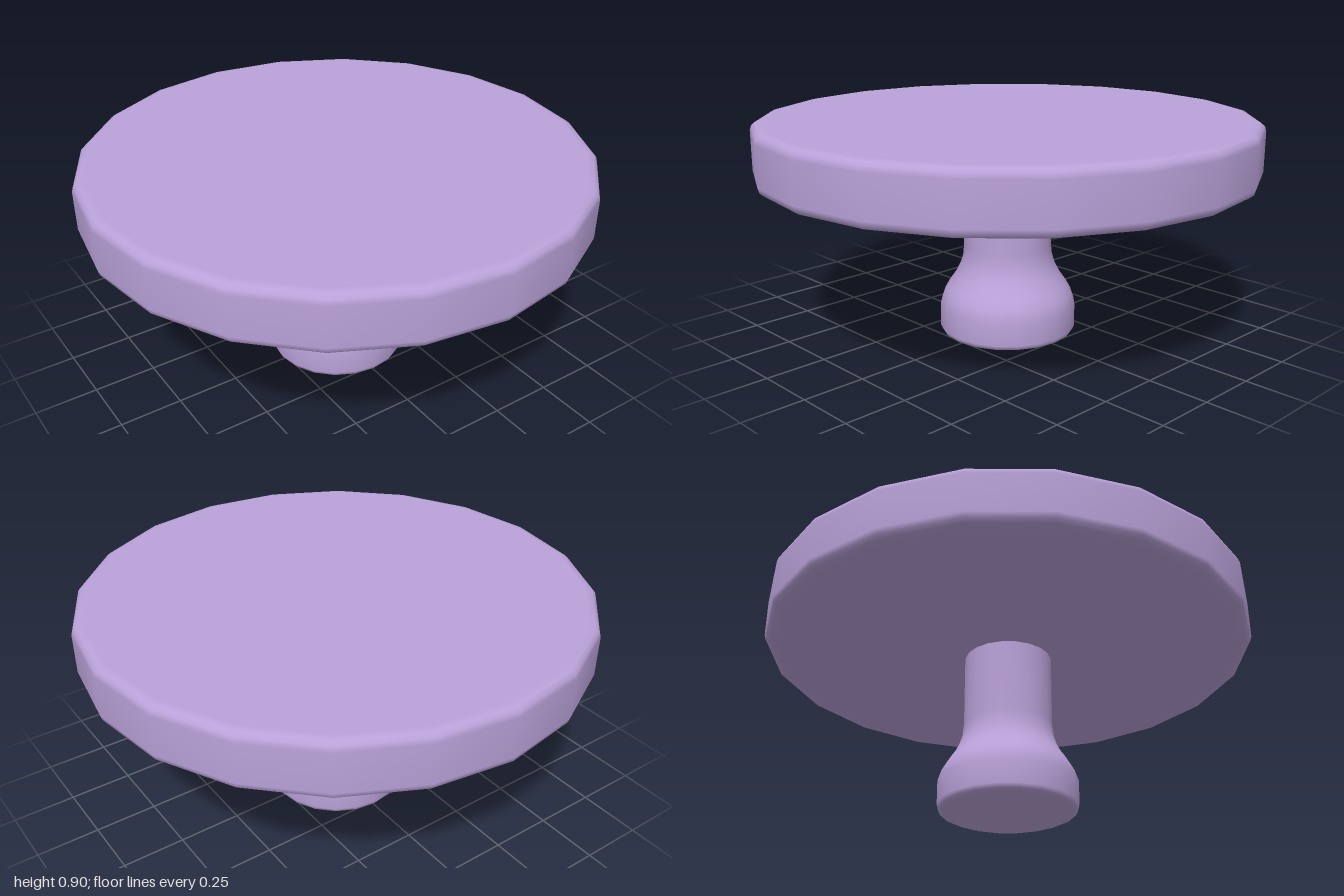
import * as THREE from 'three';

const SIDES = 20;

// Smooth solid of revolution from [radius, height] pairs, bottom to top
function turned(name, profile, material) {
  const points = profile.map(([r, y]) => new THREE.Vector2(r, y));
  const mesh = new THREE.Mesh(new THREE.LatheGeometry(points, SIDES), material);
  mesh.name = name;
  return mesh;
}

export function createModel() {
  const lilac = new THREE.MeshStandardMaterial({ color: 0xbaa2d9 });
  lilac.name = 'lilac';

  const model = new THREE.Group();
  model.name = 'pedestalTable';

  // Flared foot rising into a straight column
  model.add(turned('pedestal', [
    [0, 0], [0.255, 0], [0.272, 0.008], [0.28, 0.025],
    [0.28, 0.12], [0.265, 0.165], [0.245, 0.2], [0.217, 0.24],
    [0.197, 0.28], [0.185, 0.32], [0.18, 0.37], [0.18, 0.68],
  ], lilac));

  // Thick round top with softened rims
  model.add(turned('tableTop', [
    [0, 0.667], [0.955, 0.667], [0.98, 0.673], [0.994, 0.685], [1, 0.705],
    [1, 0.862], [0.994, 0.882], [0.98, 0.894], [0.955, 0.9], [0, 0.9],
  ], lilac));

  return model;
}
